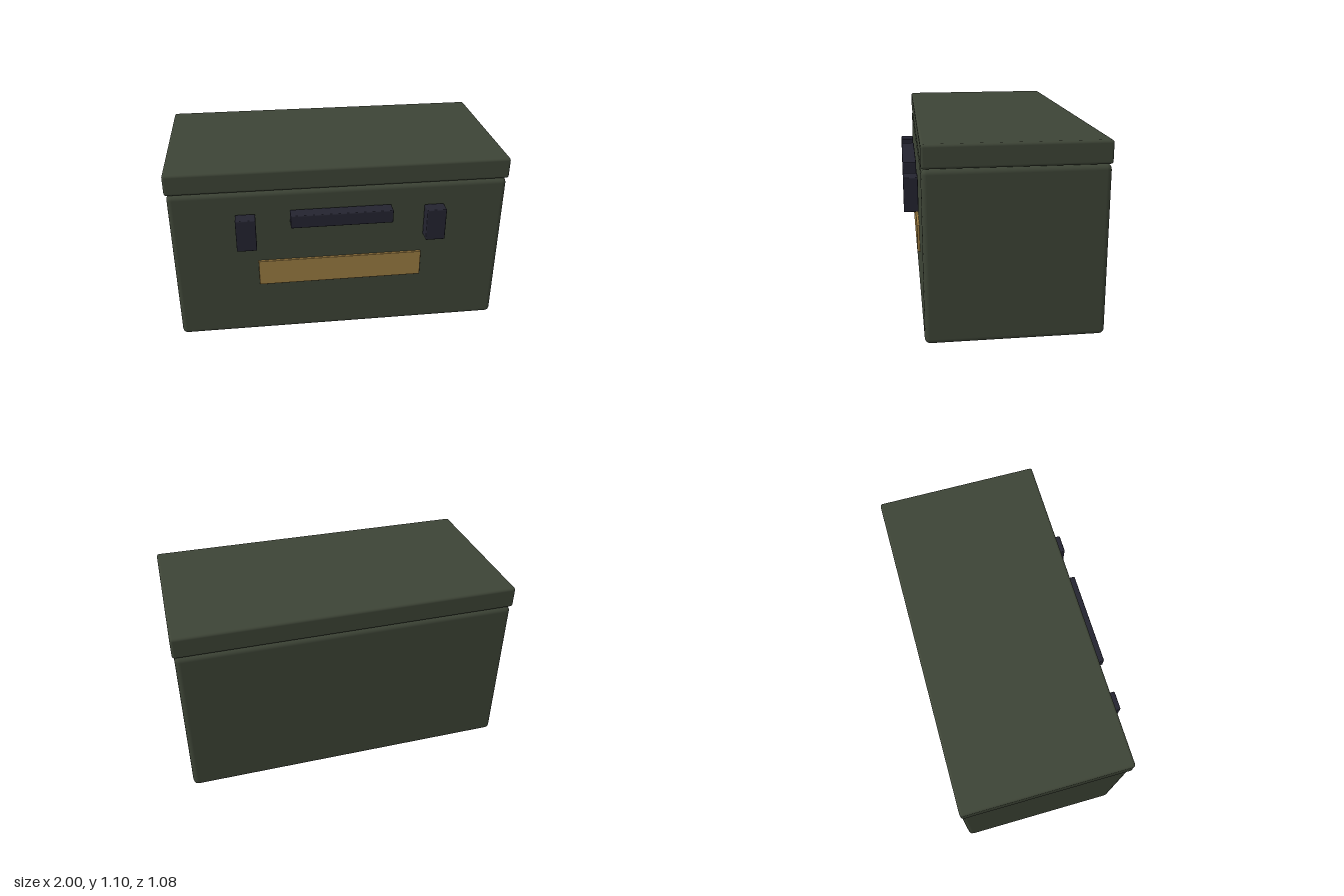
import * as THREE from 'three';
import { RoundedBoxGeometry } from 'three/addons/geometries/RoundedBoxGeometry.js';

function material(name, color) {
  const m = new THREE.MeshStandardMaterial({ color });
  m.name = name;
  return m;
}

export function createModel() {
  const group = new THREE.Group();
  group.name = 'storageChest';

  const olive = material('olive green', 0x3d4436);
  const dark = material('dark hardware', 0x242430);
  const brass = material('brass', 0x9a7b42);

  // Rounded block given by its [min, max] extent along each axis
  function block(name, mat, x, y, z, radius) {
    const size = [x, y, z].map(([a, b]) => b - a);
    const mid = [x, y, z].map(([a, b]) => (a + b) / 2);
    const mesh = new THREE.Mesh(new RoundedBoxGeometry(...size, 2, radius), mat);
    mesh.position.set(...mid);
    mesh.name = name;
    group.add(mesh);
  }

  // Chest body and slightly wider lid
  block('body', olive, [-0.99, 0.99], [0, 0.968], [-0.54, 0.452], 0.03);
  block('lid', olive, [-1, 1], [0.97, 1.098], [-0.54, 0.452], 0.016);

  // Front handle with a latch on each side
  block('handle', dark, [-0.298, 0.298], [0.768, 0.848], [0.458, 0.54], 0.006);
  for (const side of [-1, 1]) {
    const c = side * 0.556;
    const name = side > 0 ? 'leftLatch' : 'rightLatch';
    block(name, dark, [c - 0.058, c + 0.058], [0.634, 0.834], [0.458, 0.54], 0.006);
  }

  // Blank name plate
  block('namePlate', brass, [-0.494, 0.494], [0.349, 0.514], [0.452, 0.469], 0.004);

  return group;
}
